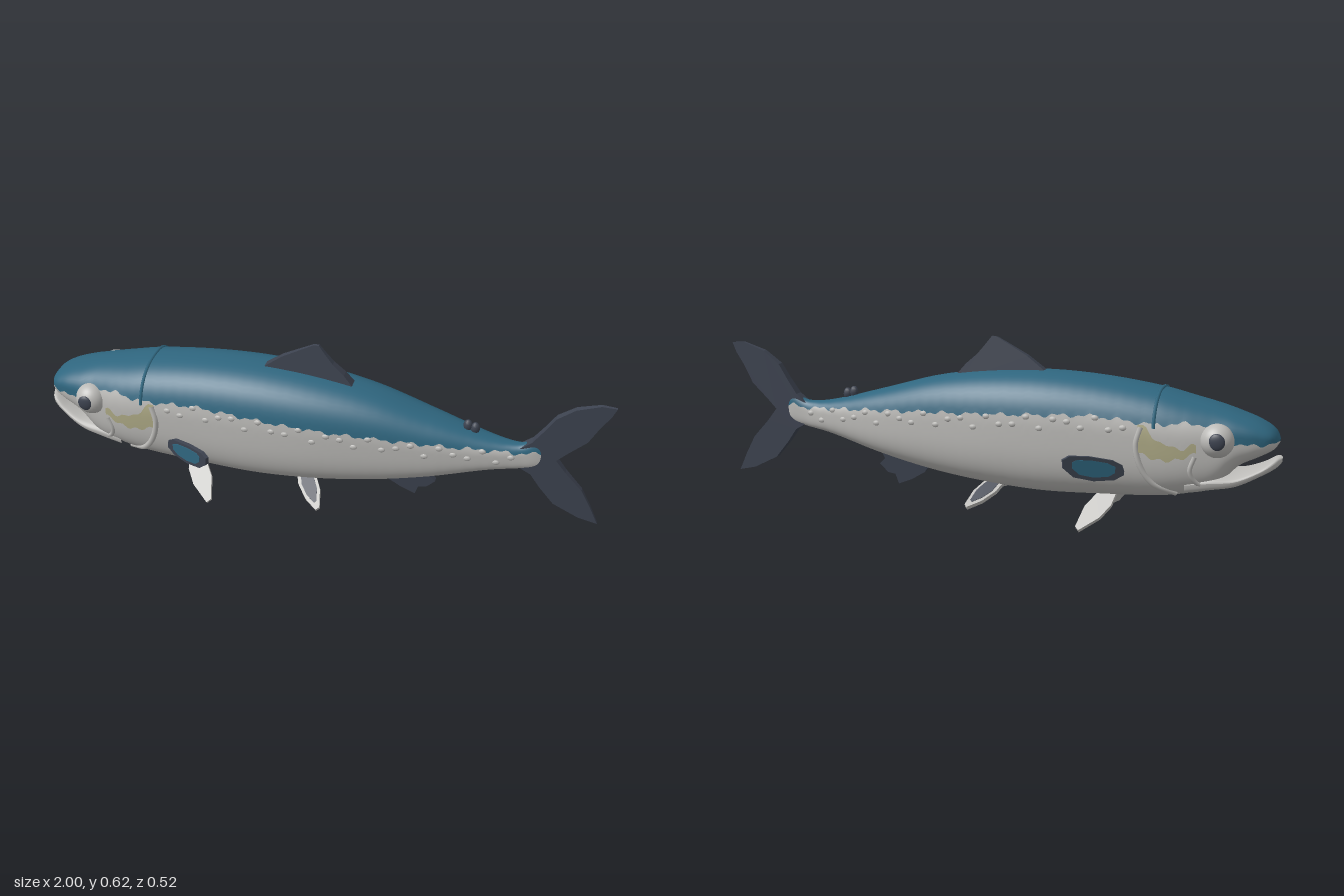
import * as THREE from 'three';

const mat = (name, color, side = THREE.FrontSide) => {
  const m = new THREE.MeshStandardMaterial({ color, side });
  m.name = name;
  return m;
};

// Body stations: x, top, bottom, half width, height of the colour line
const BODY = [
  [-0.99, 0.318, 0.31, 0.01, 0.314], [-0.975, 0.345, 0.288, 0.06, 0.316], [-0.93, 0.375, 0.262, 0.09, 0.31],
  [-0.86, 0.402, 0.225, 0.112, 0.315], [-0.79, 0.424, 0.15, 0.128, 0.365], [-0.7, 0.445, 0.125, 0.147, 0.375],
  [-0.6, 0.468, 0.11, 0.157, 0.37], [-0.4, 0.495, 0.1, 0.163, 0.385], [-0.2, 0.505, 0.096, 0.165, 0.378],
  [0, 0.495, 0.11, 0.156, 0.367], [0.2, 0.465, 0.137, 0.132, 0.357], [0.4, 0.41, 0.18, 0.098, 0.345],
  [0.6, 0.357, 0.235, 0.053, 0.33], [0.7, 0.348, 0.253, 0.03, 0.325], [0.76, 0.37, 0.265, 0.02, 0.33],
  [0.81, 0.345, 0.29, 0.005, 0.325],
];
const JAW = [
  [-1, 0.258, 0.245, 0.01], [-0.985, 0.262, 0.227, 0.05], [-0.93, 0.23, 0.195, 0.08],
  [-0.86, 0.206, 0.162, 0.103], [-0.78, 0.205, 0.146, 0.118], [-0.7, 0.2, 0.13, 0.125],
];

// Smooth interpolation of every column of a station table
function station(rows, x) {
  let i = 0;
  while (i < rows.length - 2 && x > rows[i + 1][0]) i++;
  const a = rows[i], b = rows[i + 1], p = rows[Math.max(i - 1, 0)], q = rows[Math.min(i + 2, rows.length - 1)];
  const d = b[0] - a[0], t = THREE.MathUtils.clamp((x - a[0]) / d, 0, 1);
  return a.map((v, k) => {
    const m0 = (b[k] - p[k]) / (b[0] - p[0]) * d, m1 = (q[k] - v) / (q[0] - a[0]) * d;
    return v + t * m0 + t * t * (3 * (b[k] - v) - 2 * m0 - m1) + t * t * t * (2 * (v - b[k]) + m0 + m1);
  });
}

const LOW = 3.1, HIGH = 2.35;
const middle = ([, top, bottom]) => bottom + 0.55 * (top - bottom);

// Point on the rounded, flat-bellied cross-section
function sectionPoint(s, a) {
  const sn = Math.sin(a), cs = Math.cos(a), n = sn < 0 ? LOW : HIGH, cy = middle(s);
  const h = sn < 0 ? cy - s[2] : s[1] - cy;
  return [s[0], cy + h * Math.sign(sn) * Math.abs(sn) ** (2 / n), s[3] * Math.sign(cs) * Math.abs(cs) ** (2 / n)];
}

function halfWidth(x, y) {
  const s = station(BODY, x), cy = middle(s), n = y < cy ? LOW : HIGH;
  const r = Math.min(1, Math.abs(y - cy) / (y < cy ? cy - s[2] : s[1] - cy));
  return s[3] * (1 - r ** n) ** (1 / n);
}

// Angle of the slightly ragged colour line
function splitAngle(s) {
  const y = s[4] + 0.005 * Math.sin(s[0] * 61) + 0.004 * Math.sin(s[0] * 143 + 1);
  const cy = middle(s), n = y < cy ? LOW : HIGH;
  const r = THREE.MathUtils.clamp((y - cy) / (y < cy ? cy - s[2] : s[1] - cy), -0.95, 0.95);
  return Math.sign(r) * Math.asin(Math.abs(r) ** (n / 2));
}

function grid(nu, nv, point) {
  const pos = [], idx = [];
  for (let i = 0; i <= nu; i++) for (let j = 0; j <= nv; j++) pos.push(...point(i / nu, j / nv));
  for (let i = 0; i < nu; i++) for (let j = 0; j < nv; j++) {
    const a = i * (nv + 1) + j, b = a + nv + 1;
    idx.push(a, b, b + 1, a, b + 1, a + 1);
  }
  const g = new THREE.BufferGeometry();
  g.setAttribute('position', new THREE.Float32BufferAttribute(pos, 3));
  g.setIndex(idx);
  g.computeVertexNormals();
  return g;
}

function loft(rows, nu, nv, range) {
  const x0 = rows[0][0], x1 = rows[rows.length - 1][0];
  return grid(nu, nv, (u, v) => {
    const s = station(rows, x0 + (x1 - x0) * u), [a, b] = range(s);
    return sectionPoint(s, a + (b - a) * v);
  });
}

// Flat fin whose thickness depends on its outline position
function finGeometry(points, thickness) {
  const shape = new THREE.Shape(points.map(p => new THREE.Vector2(...p)));
  const g = new THREE.ExtrudeGeometry(shape, { depth: 1, bevelEnabled: false });
  const p = g.attributes.position;
  for (let i = 0; i < p.count; i++) p.setZ(i, (p.getZ(i) - 0.5) * thickness(p.getX(i), p.getY(i)));
  g.computeVertexNormals();
  return g;
}

const inset = (pts, k) => {
  const c = [0, 1].map(a => pts.reduce((s, p) => s + p[a], 0) / pts.length);
  return pts.map(p => p.map((v, a) => c[a] + (v - c[a]) * k));
};

export function createModel() {
  const model = new THREE.Group();
  const blue = mat('back blue', 0x2f667f), white = mat('belly silver', 0xbcbbb8);
  const dark = mat('fin slate', 0x3d4350), yellow = mat('cheek yellow', 0xaeaa86, THREE.DoubleSide);
  const add = (name, geometry, material, parent = model) => {
    const m = new THREE.Mesh(geometry, material);
    m.name = name;
    parent.add(m);
    return m;
  };

  // Body in two colours, and the lower jaw
  add('back', loft(BODY, 200, 24, s => [splitAngle(s), Math.PI - splitAngle(s)]), blue);
  add('belly', loft(BODY, 200, 40, s => [-Math.PI - splitAngle(s), splitAngle(s)]), white);
  add('lowerJaw', loft(JAW, 30, 32, () => [-Math.PI, Math.PI]), white);

  // Raised seam behind the head
  const collar = station(BODY, -0.6), seam = [];
  for (let i = 0; i <= 16; i++) seam.push(new THREE.Vector3(...sectionPoint(collar, 0.25 + (Math.PI - 0.5) * i / 16)));
  add('collar', new THREE.TubeGeometry(new THREE.CatmullRomCurve3(seam), 48, 0.006, 6), blue);

  // Fins on the centre line
  add('dorsalFin', finGeometry([[-0.2, 0.48], [-0.19, 0.505], [-0.13, 0.55], [-0.07, 0.583], [-0.02, 0.61], [0, 0.612],
    [0.025, 0.58], [0.05, 0.55], [0.09, 0.515], [0.12, 0.48], [0.1, 0.46]],
  (x, y) => THREE.MathUtils.mapLinear(y, 0.46, 0.61, 0.042, 0.01)), dark);
  add('analFin', finGeometry([[0.22, 0.155], [0.25, 0.115], [0.3, 0.085], [0.35, 0.065], [0.362, 0.1], [0.39, 0.105],
    [0.42, 0.135], [0.4, 0.155], [0.42, 0.2]],
  (x, y) => THREE.MathUtils.mapLinear(y, 0.06, 0.2, 0.01, 0.03)), dark);
  add('tailFin', finGeometry([[0.69, 0.33], [0.74, 0.37], [0.775, 0.42], [0.81, 0.475], [0.87, 0.52], [0.95, 0.547],
    [1, 0.545], [0.985, 0.51], [0.955, 0.465], [0.92, 0.4], [0.86, 0.345], [0.825, 0.31], [0.86, 0.265], [0.92, 0.2],
    [0.955, 0.135], [0.985, 0.07], [0.92, 0.085], [0.83, 0.13], [0.78, 0.19], [0.745, 0.24], [0.7, 0.265]],
  x => THREE.MathUtils.mapLinear(x, 0.69, 1, 0.042, 0.008)), dark);

  // Small finlets ahead of the tail
  for (const [x, y] of [[0.52, 0.387], [0.545, 0.38], [0.52, 0.222], [0.545, 0.23]]) {
    const f = add('finlet', new THREE.SphereGeometry(1, 10, 8), dark);
    f.position.set(x, y, 0);
    f.scale.set(0.016, 0.022, 0.014);
  }

  // Paired parts are built once per side and mirrored
  for (const side of [1, -1]) {
    const half = new THREE.Group();
    half.name = side > 0 ? 'leftSide' : 'rightSide';
    half.scale.z = side;
    model.add(half);

    const fin = (name, base, along, across, points, material, spotMaterial, offset) => {
      const u = new THREE.Vector3(...along).normalize(), v = new THREE.Vector3(...across);
      v.addScaledVector(u, -v.dot(u)).normalize();
      const g = new THREE.Group();
      g.name = name;
      g.applyMatrix4(new THREE.Matrix4().makeBasis(u, v, u.clone().cross(v)).setPosition(...base));
      half.add(g);
      add(name + 'Blade', finGeometry(points, () => 0.014), material, g);
      if (spotMaterial) {
        add(name + 'Centre', finGeometry(inset(points, 0.7), () => offset ? 0.006 : 0.018), spotMaterial, g).position.z = offset;
      }
    };
    fin('pectoralFin', [-0.505, 0.215, 0.148], [0.18, 0.02, 0.105], [0, 1, 0],
      [[0, -0.02], [0.03, -0.038], [0.1, -0.045], [0.17, -0.035], [0.207, -0.008], [0.212, 0.02], [0.19, 0.034], [0.12, 0.035], [0.04, 0.026], [0, 0.01]],
      dark, blue, 0.006);
    fin('frontPelvicFin', [-0.44, 0.117, 0.058], [0.08, -0.115, 0.12], [1, 0, 0],
      [[-0.02, -0.02], [0.05, -0.04], [0.11, -0.036], [0.187, -0.004], [0.18, 0.014], [0.1, 0.035], [0.04, 0.03], [-0.02, 0.015]],
      white);
    fin('rearPelvicFin', [-0.035, 0.12, 0.045], [0.07, -0.08, 0.12], [1, 0, 0],
      [[-0.02, -0.03], [0.05, -0.038], [0.11, -0.026], [0.16, 0], [0.155, 0.015], [0.09, 0.032], [0.04, 0.03], [-0.02, 0.02]],
      white, dark, 0);

    // Bulging eye with a flat pupil
    const eye = add('eye', new THREE.SphereGeometry(1, 28, 20), white, half);
    eye.position.set(-0.802, 0.322, 0.113);
    eye.scale.set(0.056, 0.056, 0.052);
    const pupil = add('pupil', new THREE.SphereGeometry(1, 20, 12), dark, half);
    pupil.position.set(-0.808, 0.326, 0.157);
    pupil.scale.set(0.027, 0.028, 0.011);

    // Gill cover edges and cheek patch
    const ridge = (name, pts, r) => add(name, new THREE.TubeGeometry(new THREE.CatmullRomCurve3(
      pts.map(([x, y]) => new THREE.Vector3(x, y, halfWidth(x, y)))), 32, r, 8), white, half);
    ridge('gillEdge', [[-0.56, 0.36], [-0.545, 0.3], [-0.56, 0.23], [-0.6, 0.17], [-0.67, 0.135]], 0.01);
    ridge('cheekEdge', [[-0.735, 0.27], [-0.72, 0.22], [-0.74, 0.18], [-0.78, 0.165]], 0.008);
    add('cheekPatch', grid(20, 8, (u, v) => {
      const x = -0.74 + 0.19 * u, low = 0.283 - 0.03 * Math.sin(u * 3) + 0.006 * Math.sin(u * 23);
      const y = low + (0.025 + 0.075 * u ** 1.5 + 0.006 * Math.sin(u * 17)) * v;
      return [x, y, halfWidth(x, y) + 0.004];
    }), yellow, half);

    // Small scale bumps along the flank
    for (let i = 0; i < 26; i++) {
      const x = -0.5 + i * 0.047, y = station(BODY, x)[4] - 0.025 - 0.02 * Math.sin(i * 2.4);
      const bump = add('scaleBump', new THREE.SphereGeometry(1, 8, 6), white, half);
      bump.position.set(x, y, halfWidth(x, y) - 0.002);
      bump.scale.set(0.014, 0.01, 0.007);
    }
  }
  return model;
}
